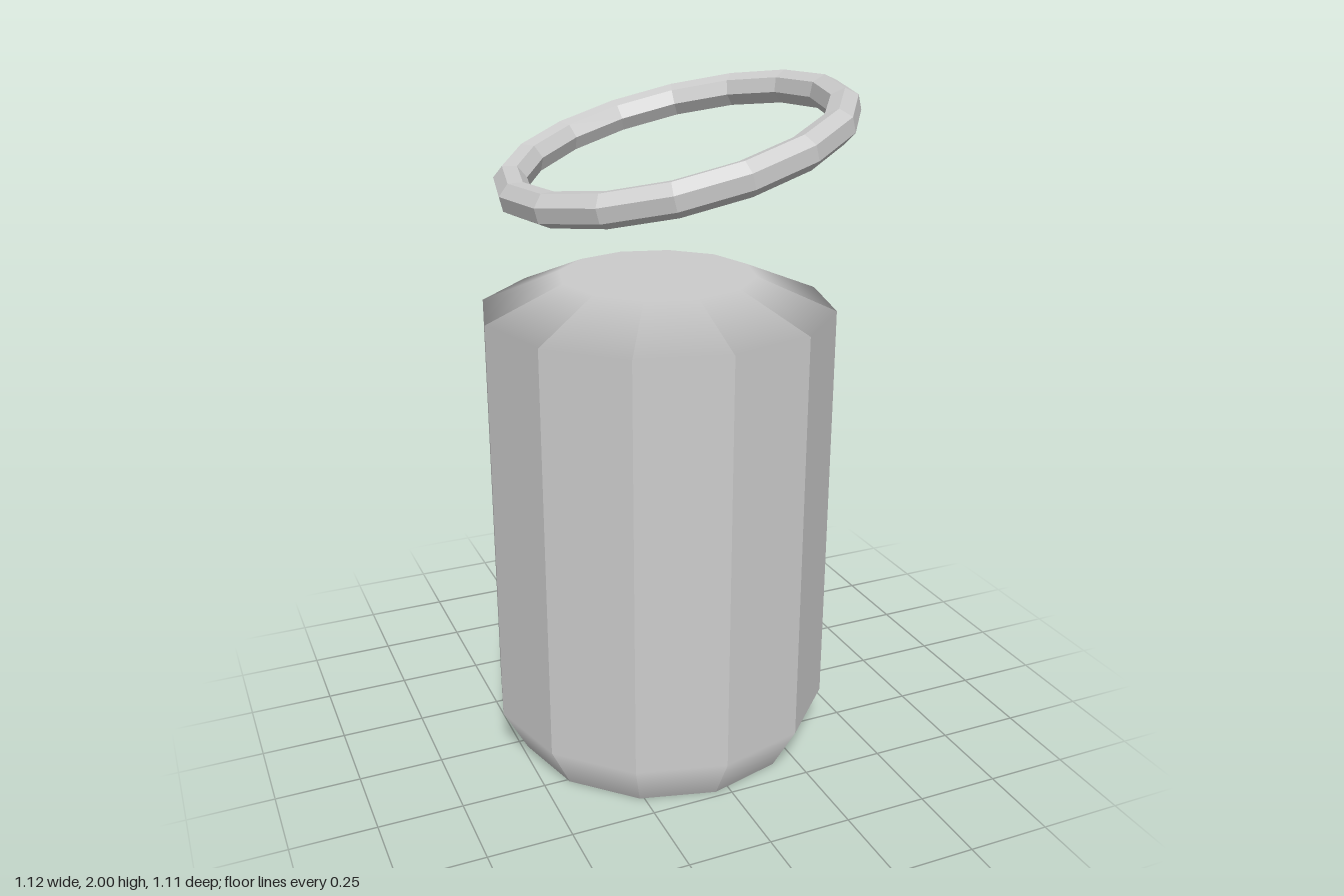
import * as THREE from 'three';

const SIDES = 12;
const material = new THREE.MeshStandardMaterial({ color: 0xcccccc });
const flatMaterial = new THREE.MeshStandardMaterial({ color: 0xcccccc, flatShading: true });

// Twelve-sided can: flat sides and caps, with bevels shaded softly between them
function canGeometry() {
  const positions = [], normals = [];
  const at = (r, y, k) => {
    const a = (k * 2 * Math.PI) / SIDES;
    return [r * Math.sin(a), y, r * Math.cos(a)];
  };
  const corner = (p, n) => { positions.push(...p); normals.push(...n); };
  const up = [0, 1, 0], down = [0, -1, 0];

  for (let k = 0; k < SIDES; k++) {
    const side = at(1, 0, k + 0.5);
    const under = new THREE.Vector3(side[0], -0.5, side[2]).normalize().toArray();
    // r, y and normal at the lower and upper edge of each band
    const bands = [
      [0.44, 0, under, 0.515, 0.14, side],
      [0.515, 0.14, side, 0.515, 1.38, side],
      [0.515, 1.38, side, 0.285, 1.475, up],
    ];
    for (const [r0, y0, n0, r1, y1, n1] of bands) {
      const a = at(r0, y0, k), b = at(r0, y0, k + 1);
      const c = at(r1, y1, k + 1), d = at(r1, y1, k);
      corner(a, n0); corner(b, n0); corner(c, n1);
      corner(a, n0); corner(c, n1); corner(d, n1);
    }
    // Cap wedges
    for (const p of [[0, 1.475, 0], at(0.285, 1.475, k), at(0.285, 1.475, k + 1)]) corner(p, up);
    for (const p of [[0, 0, 0], at(0.44, 0, k + 1), at(0.44, 0, k)]) corner(p, down);
  }
  const geometry = new THREE.BufferGeometry();
  geometry.setAttribute('position', new THREE.Float32BufferAttribute(positions, 3));
  geometry.setAttribute('normal', new THREE.Float32BufferAttribute(normals, 3));
  return geometry;
}

// Ring with a seven-sided section, one corner pointing inward
function ringGeometry() {
  const section = [];
  for (let i = 0; i <= 7; i++) {
    const a = Math.PI + (i * 2 * Math.PI) / 7;
    section.push(new THREE.Vector2(0.485 + 0.05 * Math.cos(a), 0.05 * Math.sin(a)));
  }
  return new THREE.LatheGeometry(section, 16);
}

export function createModel() {
  const model = new THREE.Group();

  const body = new THREE.Mesh(canGeometry(), material);
  body.name = 'body';
  body.position.set(-0.043, 0, 0.04);
  model.add(body);

  // Tilted ring floating above the body
  const ring = new THREE.Mesh(ringGeometry(), flatMaterial);
  ring.name = 'floatingRing';
  ring.position.set(0.04, 1.828, -0.025);
  ring.rotation.set(0.028, -0.026, 0.258);
  model.add(ring);

  return model;
}
